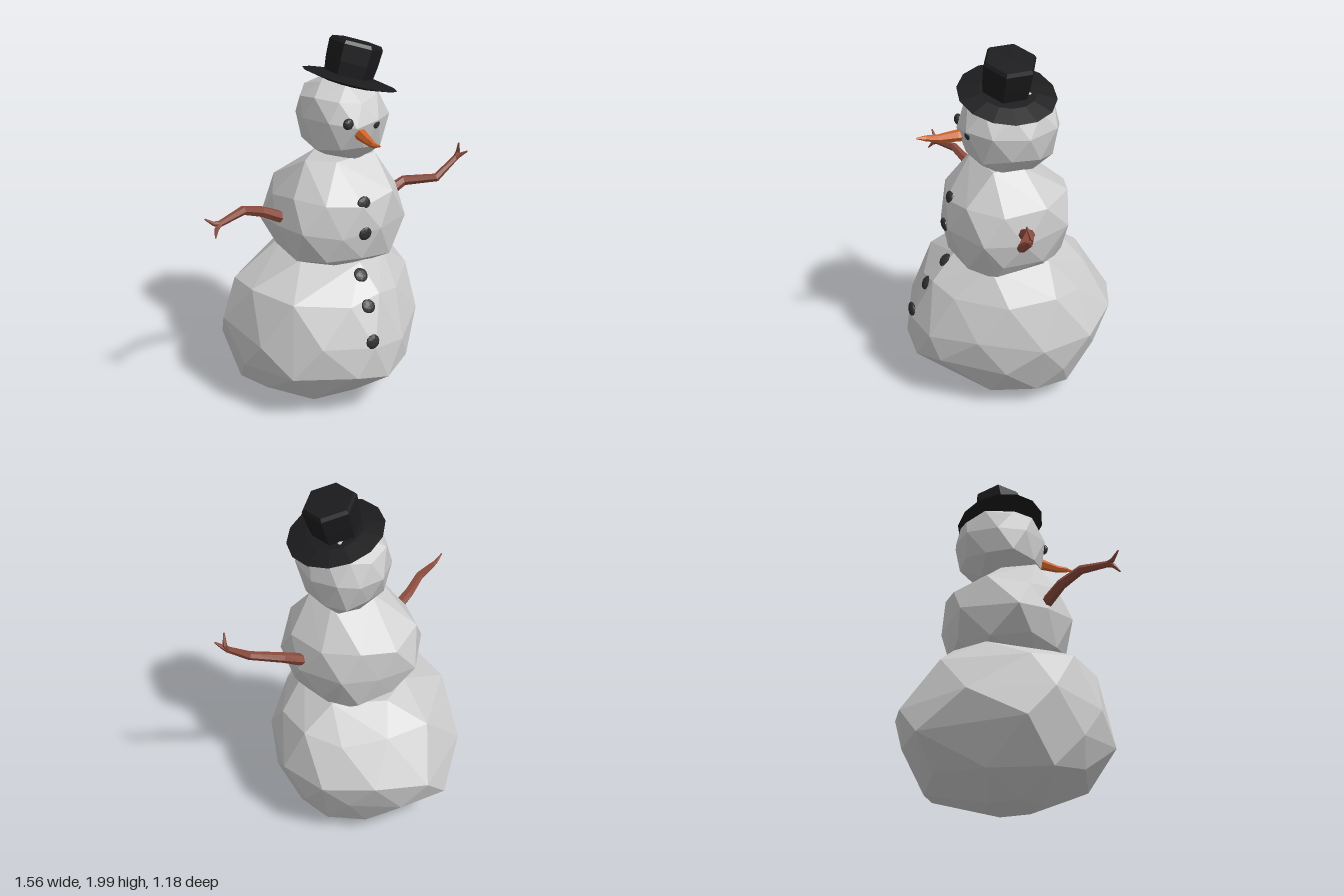
import * as THREE from 'three';
import { ConvexGeometry } from 'three/addons/geometries/ConvexGeometry.js';

const material = (color) => new THREE.MeshStandardMaterial({ color, flatShading: true, side: THREE.DoubleSide });
const snow = material(0xcccccc);
const wood = material(0x8a4a3c);
const carrot = material(0xd2662a);
const felt = material(0x1b1b1d);
const coal = material(0x303030);

function part(parent, name, geometry, mat) {
  const mesh = new THREE.Mesh(geometry, mat);
  mesh.name = name;
  parent.add(mesh);
  return mesh;
}

// Faceted lump of snow: an uneven plan outline [x, z] fitted into each
// level [y, xMin, xMax, zMin, zMax]; every other level turns by half a side
function snowball(plan, levels, wobble) {
  const points = [];
  levels.forEach(([y, x0, x1, z0, z1], k) => {
    const end = k === 0 || k === levels.length - 1;
    const ring = plan.map(([x, z], i) => {
      const next = plan[(i + 1) % plan.length];
      return k % 2 ? new THREE.Vector2((x + next[0]) / 2, (z + next[1]) / 2) : new THREE.Vector2(x, z);
    }).filter((p, i) => !end || i % 2 === 0);
    const box = new THREE.Box2().setFromPoints(ring);
    ring.forEach((p, i) => points.push(new THREE.Vector3(
      THREE.MathUtils.mapLinear(p.x, box.min.x, box.max.x, x0, x1),
      y + (end ? 0 : wobble * Math.sin(i * 2.3 + k * 1.7)),
      THREE.MathUtils.mapLinear(p.y, box.min.y, box.max.y, z0, z1))));
  });
  return new ConvexGeometry(points);
}

// Tapered angular limb along nodes [x, y, z, radius]
function limb(nodes, sides = 6) {
  const pts = nodes.map((n) => new THREE.Vector3(n[0], n[1], n[2]));
  const positions = [];
  const index = [];
  const last = pts.length - 1;
  const up = new THREE.Vector3(0, 1, 0);
  pts.forEach((p, k) => {
    const dir = pts[Math.min(k + 1, last)].clone().sub(pts[Math.max(k - 1, 0)]).normalize();
    const ref = Math.abs(dir.y) > 0.9 ? new THREE.Vector3(1, 0, 0) : up;
    const u = new THREE.Vector3().crossVectors(ref, dir).normalize();
    const v = new THREE.Vector3().crossVectors(dir, u);
    for (let i = 0; i < sides; i++) {
      const a = (i / sides) * Math.PI * 2;
      const q = p.clone().addScaledVector(u, Math.cos(a) * nodes[k][3]).addScaledVector(v, Math.sin(a) * nodes[k][3]);
      positions.push(q.x, q.y, q.z);
      if (k < last) {
        const j = (i + 1) % sides;
        const b = k * sides;
        index.push(b + i, b + j, b + sides + j, b + i, b + sides + j, b + sides + i);
      }
    }
  });
  // End caps
  for (let i = 1; i < sides - 1; i++) {
    const b = last * sides;
    index.push(0, i + 1, i, b, b + i, b + i + 1);
  }
  const g = new THREE.BufferGeometry();
  g.setAttribute('position', new THREE.Float32BufferAttribute(positions, 3));
  g.setIndex(index);
  g.computeVertexNormals();
  return g;
}

export function createModel() {
  const model = new THREE.Group();
  model.name = 'snowman';

  // Three stacked snowballs
  const lowerPlan = [
    [-0.08, -0.60], [0.20, -0.52], [0.44, -0.34], [0.56, -0.10], [0.50, 0.22],
    [0.24, 0.51], [0.06, 0.59], [-0.14, 0.58], [-0.45, 0.40], [-0.58, 0.08], [-0.55, -0.25],
  ];
  part(model, 'lowerBody', snowball(lowerPlan, [
    [0.01, -0.23, 0.11, -0.14, 0.15],
    [0.12, -0.50, 0.45, -0.40, 0.41],
    [0.30, -0.55, 0.52, -0.58, 0.59],
    [0.47, -0.575, 0.555, -0.59, 0.585],
    [0.70, -0.49, 0.48, -0.44, 0.48],
    [0.855, -0.23, 0.31, -0.27, 0.34],
  ], 0.025), snow);
  const upperPlan = [
    [-0.07, -0.33], [0.14, -0.27], [0.33, -0.19], [0.385, 0.08], [0.34, 0.29],
    [0.11, 0.395], [-0.10, 0.36], [-0.28, 0.26], [-0.32, 0.06], [-0.32, -0.13],
  ];
  part(model, 'upperBody', snowball(upperPlan, [
    [0.80, -0.20, 0.28, -0.18, 0.25],
    [0.88, -0.28, 0.34, -0.27, 0.37],
    [1.04, -0.32, 0.385, -0.33, 0.40],
    [1.20, -0.29, 0.35, -0.30, 0.375],
    [1.39, -0.17, 0.21, -0.03, 0.21],
  ], 0.02), snow);
  const headPlan = [
    [0.06, -0.21], [0.20, -0.19], [0.30, -0.13], [0.33, 0.03], [0.28, 0.21],
    [0.15, 0.30], [0.02, 0.30], [-0.10, 0.22], [-0.15, 0.05], [-0.10, -0.11],
  ];
  part(model, 'head', snowball(headPlan, [
    [1.37, 0.00, 0.21, -0.08, 0.19],
    [1.46, -0.12, 0.30, -0.17, 0.28],
    [1.60, -0.15, 0.325, -0.21, 0.305],
    [1.71, -0.12, 0.28, -0.18, 0.265],
    [1.78, -0.04, 0.18, -0.06, 0.16],
  ], 0.015), snow);

  // Tilted hat: dished brim and six-sided crown
  const hat = new THREE.Group();
  hat.name = 'hat';
  hat.position.set(0.12, 1.762, 0.07);
  hat.rotation.z = -0.29;
  model.add(hat);
  const brimProfile = [[0, -0.01], [0.15, -0.012], [0.255, 0.01], [0.15, 0.03], [0, 0.03]];
  part(hat, 'brim', new THREE.LatheGeometry(brimProfile.map(([x, y]) => new THREE.Vector2(x, y)), 14), felt);
  const crownProfile = [[0.125, 0], [0.138, 0.1], [0.142, 0.19], [0.13, 0.208], [0, 0.21]];
  part(hat, 'crown', new THREE.LatheGeometry(crownProfile.map(([x, y]) => new THREE.Vector2(x, y)), 6), felt)
    .position.x = -0.015;

  // Coal eyes and buttons: [x, y, z, radius, pitch]
  const lumps = [
    [-0.02, 1.61, 0.28, 0.03, 0], [0.135, 1.59, 0.285, 0.03, 0],
    [0.03, 1.195, 0.358, 0.04, -0.2], [0.02, 1.04, 0.39, 0.038, 0.1],
    [0.00, 0.805, 0.385, 0.04, -0.8], [-0.02, 0.675, 0.49, 0.04, -0.6],
    [-0.045, 0.51, 0.575, 0.04, -0.15],
  ];
  lumps.forEach(([x, y, z, r, pitch], i) => {
    const lump = part(model, i < 2 ? 'eye' : 'button', new THREE.IcosahedronGeometry(r, 1), coal);
    lump.scale.z = i < 2 ? 0.7 : 0.4;
    lump.position.set(x, y, z);
    lump.rotation.x = pitch;
  });

  // Crooked carrot nose
  part(model, 'nose', limb([
    [0.045, 1.55, 0.24, 0.034], [0.042, 1.55, 0.31, 0.031],
    [0.025, 1.545, 0.41, 0.021], [0.008, 1.55, 0.47, 0.015], [0.012, 1.56, 0.52, 0.003],
  ]), carrot);

  // Branch arms, each with a forked end
  const arms = {
    rightArm: [
      [[-0.24, 1.07, 0.07, 0.034], [-0.31, 1.095, 0.07, 0.033], [-0.42, 1.15, 0.075, 0.029],
        [-0.54, 1.195, 0.11, 0.024], [-0.70, 1.175, 0.16, 0.016]],
      [[-0.69, 1.176, 0.157, 0.015], [-0.73, 1.185, 0.16, 0.012], [-0.775, 1.22, 0.16, 0.004]],
      [[-0.69, 1.176, 0.157, 0.015], [-0.72, 1.16, 0.175, 0.012], [-0.74, 1.125, 0.20, 0.004]],
    ],
    leftArm: [
      [[0.30, 1.07, 0.08, 0.034], [0.38, 1.095, 0.085, 0.033], [0.47, 1.145, 0.10, 0.028],
        [0.61, 1.17, 0.21, 0.023], [0.735, 1.27, 0.22, 0.016]],
      [[0.728, 1.262, 0.22, 0.015], [0.745, 1.30, 0.22, 0.012], [0.73, 1.36, 0.24, 0.004]],
      [[0.728, 1.262, 0.22, 0.015], [0.75, 1.285, 0.235, 0.012], [0.775, 1.31, 0.265, 0.004]],
    ],
  };
  for (const [name, pieces] of Object.entries(arms)) {
    const arm = new THREE.Group();
    arm.name = name;
    model.add(arm);
    pieces.forEach((nodes, i) => part(arm, i ? 'twig' : 'branch', limb(nodes), wood));
  }
  return model;
}
